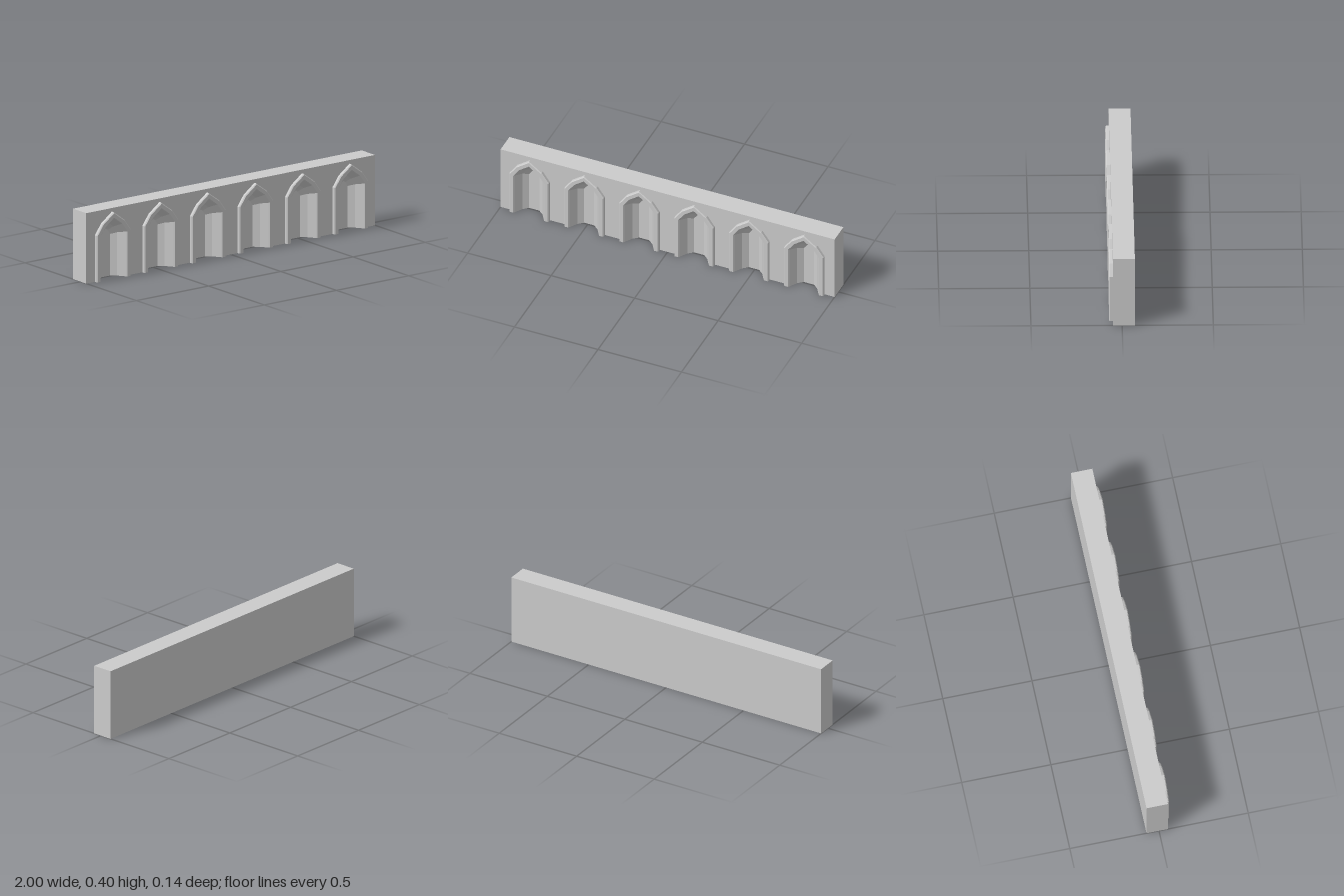
import * as THREE from 'three';

const material = new THREE.MeshStandardMaterial({ color: 0xcccccc, flatShading: true });
const COUNT = 6, SPACING = 0.329;
const HALF = 0.118;                    // outer half width of an arch frame
const BACK = -0.07, FRONT = 0.05, HEIGHT = 0.4;

// Section across the frame and niche: [inward offset, z]
const section = [
  [0, FRONT], [0, 0.065], [0.005, 0.07], [0.025, 0.07], [0.03, 0.064],
  [0.058, 0.02], [0.088, -0.005],
];

// Pointed arch, right foot over the apex to the left foot, offset inward by d
function archPoints(d) {
  const right = [
    [HALF - d, 0],
    [HALF - d, 0.265 - 0.325 * d],
    [0.075 - 0.716 * d, 0.325 - 0.716 * d],
  ];
  const left = right.map(([x, y]) => [-x, y]).reverse();
  return [...right, [0, 0.38 - 1.236 * d], ...left];
}

function addMesh(parent, name, geometry) {
  const mesh = new THREE.Mesh(geometry, material);
  mesh.name = name;
  parent.add(mesh);
  return mesh;
}

const toShape = (points) => new THREE.Shape(points.map(([x, y]) => new THREE.Vector2(x, y)));

// Surface joining the arch outlines at each step of the section
function archSurface(steps) {
  const rings = steps.map(([d, z]) => archPoints(d).map(([x, y]) => [x, y, z]));
  const positions = [];
  for (let i = 0; i < rings.length - 1; i++) {
    for (let j = 0; j < rings[i].length - 1; j++) {
      const a = rings[i][j], b = rings[i][j + 1];
      const c = rings[i + 1][j + 1], d = rings[i + 1][j];
      positions.push(...a, ...b, ...c, ...a, ...c, ...d);
    }
  }
  const geometry = new THREE.BufferGeometry();
  geometry.setAttribute('position', new THREE.Float32BufferAttribute(positions, 3));
  geometry.computeVertexNormals();
  return geometry;
}

export function createModel() {
  const group = new THREE.Group();
  group.name = 'arcadeWall';
  const centres = Array.from({ length: COUNT }, (_, i) => (i - (COUNT - 1) / 2) * SPACING);

  // Wall ends, top and back: a box without its bottom and front
  const box = new THREE.BoxGeometry(2, HEIGHT, FRONT - BACK);
  const faces = Array.from(box.index.array);
  box.setIndex([...faces.slice(0, 18), ...faces.slice(30, 36)]);
  box.clearGroups();
  box.translate(0, HEIGHT / 2, (FRONT + BACK) / 2);
  addMesh(group, 'wallBody', box);

  // Wall front, cut out around each arch
  const frontOutline = [[1, 0], [1, HEIGHT], [-1, HEIGHT], [-1, 0]];
  for (const cx of centres) {
    frontOutline.push(...archPoints(0).reverse().map(([x, y]) => [cx + x, y]));
  }
  const front = new THREE.ShapeGeometry(toShape(frontOutline));
  front.translate(0, 0, FRONT);
  addMesh(group, 'wallFront', front);

  // Underside follows the frames and niches
  const floorOutline = [[1, FRONT], [1, BACK], [-1, BACK], [-1, FRONT]];
  for (const cx of centres) {
    floorOutline.push(...section.map(([d, z]) => [cx - HALF + d, z]));
    floorOutline.push(...section.map(([d, z]) => [cx + HALF - d, z]).reverse());
  }
  const floor = new THREE.ShapeGeometry(toShape(floorOutline));
  floor.rotateX(Math.PI / 2);
  addMesh(group, 'wallUnderside', floor);

  // Raised frame, faceted niche and flat niche back for each arch
  const frame = archSurface(section.slice(0, 5));
  const niche = archSurface(section.slice(4));
  const [backOffset, backZ] = section[section.length - 1];
  const nicheBack = new THREE.ShapeGeometry(toShape(archPoints(backOffset)));
  nicheBack.translate(0, 0, backZ);
  for (const cx of centres) {
    const arch = new THREE.Group();
    arch.name = 'arch';
    arch.position.x = cx;
    addMesh(arch, 'archFrame', frame);
    addMesh(arch, 'niche', niche);
    addMesh(arch, 'nicheBack', nicheBack);
    group.add(arch);
  }
  return group;
}
